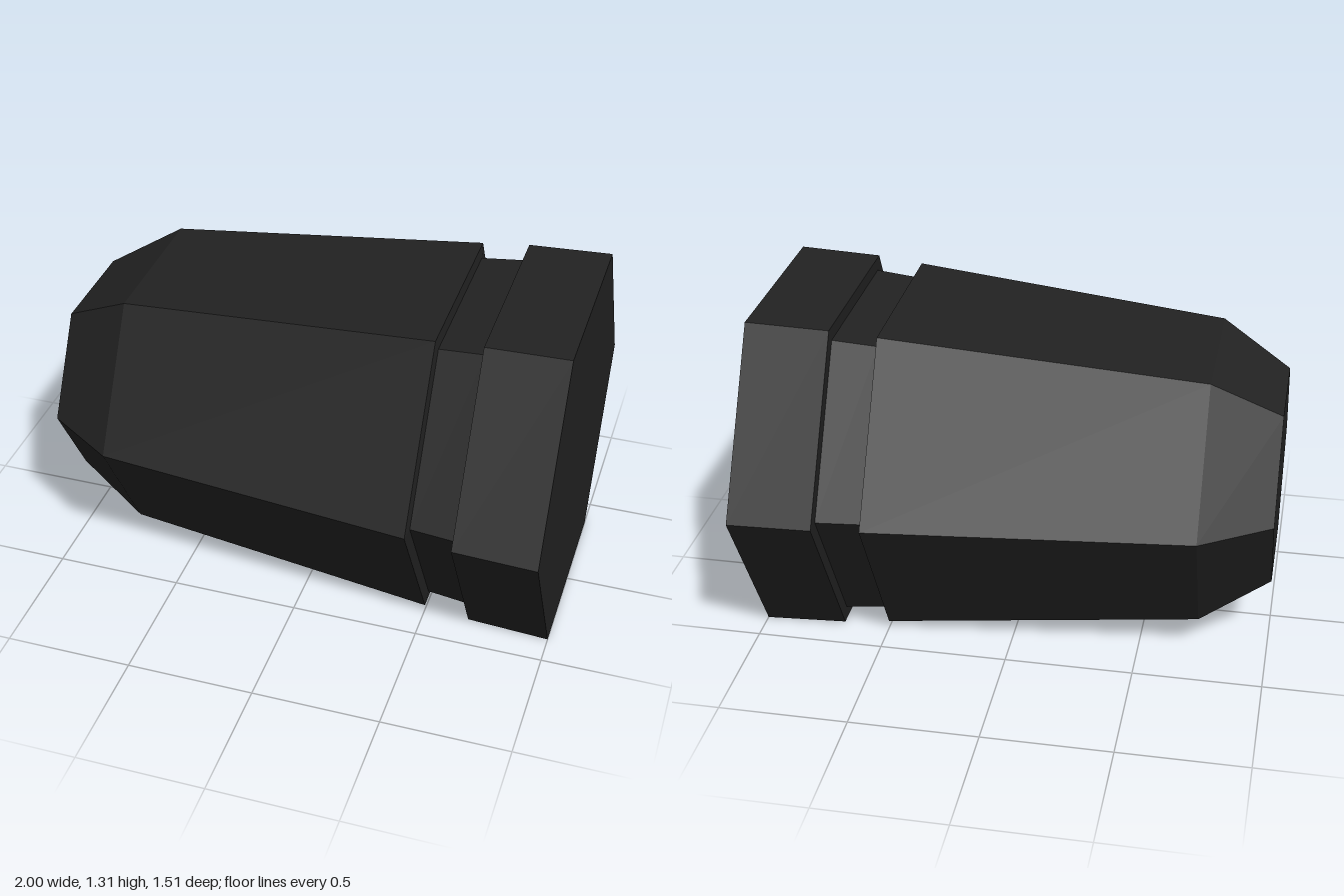
import * as THREE from 'three';

const CENTRE_Y = 0.656;

// Six-sided faceted section along x, from [x, corner radius] pairs
function hexSection(name, profile, material) {
  const points = profile.map(([x, r]) => new THREE.Vector2(r, x));
  const geometry = new THREE.LatheGeometry(points, 6).toNonIndexed();
  geometry.rotateZ(-Math.PI / 2);
  geometry.computeVertexNormals();
  const mesh = new THREE.Mesh(geometry, material);
  mesh.name = name;
  mesh.position.y = CENTRE_Y;
  return mesh;
}

export function createModel() {
  const group = new THREE.Group();
  group.name = 'hexagonalPlug';
  const black = new THREE.MeshStandardMaterial({ color: 0x222222 });
  black.name = 'black';

  group.add(
    // Flat tip with its bevel
    hexSection('bevelledTip', [[-1, 0], [-1, 0.416], [-0.73, 0.591]], black),
    // Long tapering body, ending in a step down to the groove
    hexSection('taperedBody', [[-0.73, 0.591], [0.501, 0.722], [0.506, 0.664]], black),
    // Narrow neck between body and collar
    hexSection('grooveNeck', [[0.506, 0.664], [0.68, 0.682]], black),
    // Collar with closed end
    hexSection('endCollar', [[0.68, 0.682], [0.68, 0.742], [1, 0.756], [1, 0]], black),
  );
  return group;
}
